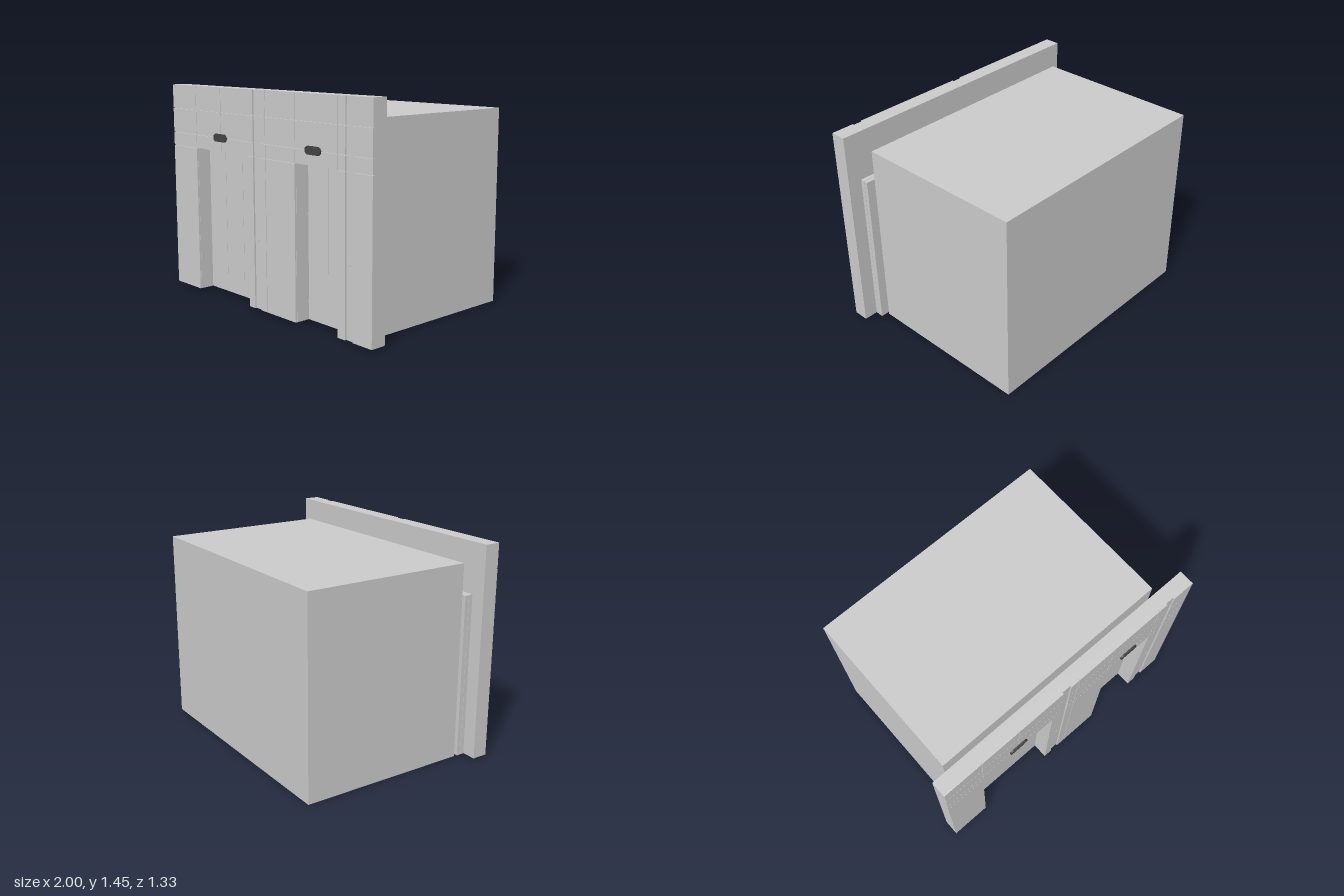
import * as THREE from 'three';

const grey = new THREE.MeshStandardMaterial({ color: 0xcccccc, flatShading: true });
const dark = new THREE.MeshStandardMaterial({ color: 0x444444 });

// Box given by its minimum and maximum corners
function block(parent, name, [x0, y0, z0], [x1, y1, z1]) {
  const mesh = new THREE.Mesh(new THREE.BoxGeometry(x1 - x0, y1 - y0, z1 - z0), grey);
  mesh.position.set((x0 + x1) / 2, (y0 + y1) / 2, (z0 + z1) / 2);
  mesh.name = name;
  parent.add(mesh);
  return mesh;
}

function extruded(parent, name, shape, z, depth, material) {
  const geometry = new THREE.ExtrudeGeometry(shape, { depth, bevelEnabled: false, curveSegments: 12 });
  const mesh = new THREE.Mesh(geometry, material);
  mesh.position.z = z;
  mesh.name = name;
  parent.add(mesh);
  return mesh;
}

// Horizontal capsule outline
function capsule(cx, cy, width, height) {
  const r = height / 2, h = width / 2 - r;
  const s = new THREE.Shape();
  s.absarc(cx + h, cy, r, -Math.PI / 2, Math.PI / 2, false);
  s.absarc(cx - h, cy, r, Math.PI / 2, Math.PI * 1.5, false);
  s.closePath();
  return s;
}

export function createModel() {
  const model = new THREE.Group();
  model.name = 'elevatorBank';

  const BOTTOM = 0.015, TOP = 1.445, HEAD = 1.017;
  const BACK = 0.55, RECESS = 0.645, FRONT = 0.656;
  const openings = [[-0.717, -0.143], [0.332, 0.711]];

  // Shaft volume behind the doors
  block(model, 'shaft', [-0.88, 0, -0.667], [0.845, 1.315, 0.488]);

  // Wall core, notched from below by the two doorways
  const outline = new THREE.Shape();
  outline.moveTo(-1, BOTTOM);
  for (const [a, b] of openings) {
    outline.lineTo(a, BOTTOM);
    outline.lineTo(a, HEAD);
    outline.lineTo(b, HEAD);
    outline.lineTo(b, BOTTOM);
  }
  outline.lineTo(1, BOTTOM);
  outline.lineTo(1, TOP);
  outline.lineTo(-1, TOP);
  outline.closePath();
  extruded(model, 'wallCore', outline, BACK, RECESS - BACK, grey);

  // Cladding panels with narrow joints; the button columns stay recessed
  const cladding = new THREE.Group();
  cladding.name = 'cladding';
  model.add(cladding);
  const columns = [[-1, -0.717], [-0.717, -0.43], [-0.43, -0.08], [-0.02, 0.045],
    [0.045, 0.332], [0.332, 0.711], [0.711, 0.78], [0.84, 1]];
  const rows = [[HEAD, 1.11], [1.11, 1.28], [1.28, TOP]];
  const jambs = [[-1, -0.717], [-0.143, -0.08], [-0.02, 0.045], [0.045, 0.332], [0.711, 0.78], [0.84, 1]];
  const g = 0.002;
  // Joints open only between panels, never along the outer edge of the wall
  const panel = (name, x0, x1, y0, y1) => block(cladding, name,
    [x0 === -1 ? x0 : x0 + g, y0 === BOTTOM ? y0 : y0 + g, RECESS],
    [x1 === 1 ? x1 : x1 - g, y1 === TOP ? y1 : y1 - g, FRONT]);
  for (const [x0, x1] of columns) {
    for (const [y0, y1] of rows) panel('upperPanel', x0, x1, y0, y1);
  }
  for (const [x0, x1] of jambs) panel('jambPanel', x0, x1, BOTTOM, HEAD);

  // Sliding doors: two layers of leaves on each opening
  const doors = new THREE.Group();
  doors.name = 'doors';
  model.add(doors);
  const doorSets = [[-0.905, -0.53, -0.338, -0.143, 0.04], [0.14, 0.332, 0.52, 0.716, 0.905]];
  for (const edges of doorSets) {
    const first = edges[0], last = edges[edges.length - 1];
    block(doors, 'rearDoorLayer', [first, BOTTOM, 0.49], [last, 1.11, 0.519]);
    for (let i = 0; i < edges.length - 1; i++) {
      block(doors, 'doorLeaf', [edges[i] + 0.001, BOTTOM, 0.522], [edges[i + 1] - 0.001, 1.11, 0.549]);
    }
    block(doors, 'doorCore', [first + 0.01, BOTTOM + 0.005, 0.518], [last - 0.01, 1.105, 0.524]);
  }

  // Capsule lanterns above each doorway
  for (const x of [-0.432, 0.505]) {
    const lantern = new THREE.Group();
    lantern.name = 'lantern';
    model.add(lantern);
    const rim = capsule(x, 1.11, 0.138, 0.052);
    rim.holes.push(capsule(x, 1.11, 0.122, 0.036));
    extruded(lantern, 'lanternRim', rim, FRONT - 0.006, 0.017, dark);
    extruded(lantern, 'lanternFace', capsule(x, 1.11, 0.124, 0.038), FRONT - 0.006, 0.014, dark);
  }

  // Small up and down call buttons in the recessed columns
  for (const x of [-0.05, 0.81]) {
    for (const [y, dir] of [[0.52, 1], [0.475, -1]]) {
      const arrow = new THREE.Shape();
      arrow.moveTo(x - 0.009, y - 0.006 * dir);
      arrow.lineTo(x + 0.009, y - 0.006 * dir);
      arrow.lineTo(x, y + 0.009 * dir);
      arrow.closePath();
      extruded(model, 'callButton', arrow, RECESS - 0.001, 0.003, grey);
    }
  }

  return model;
}
